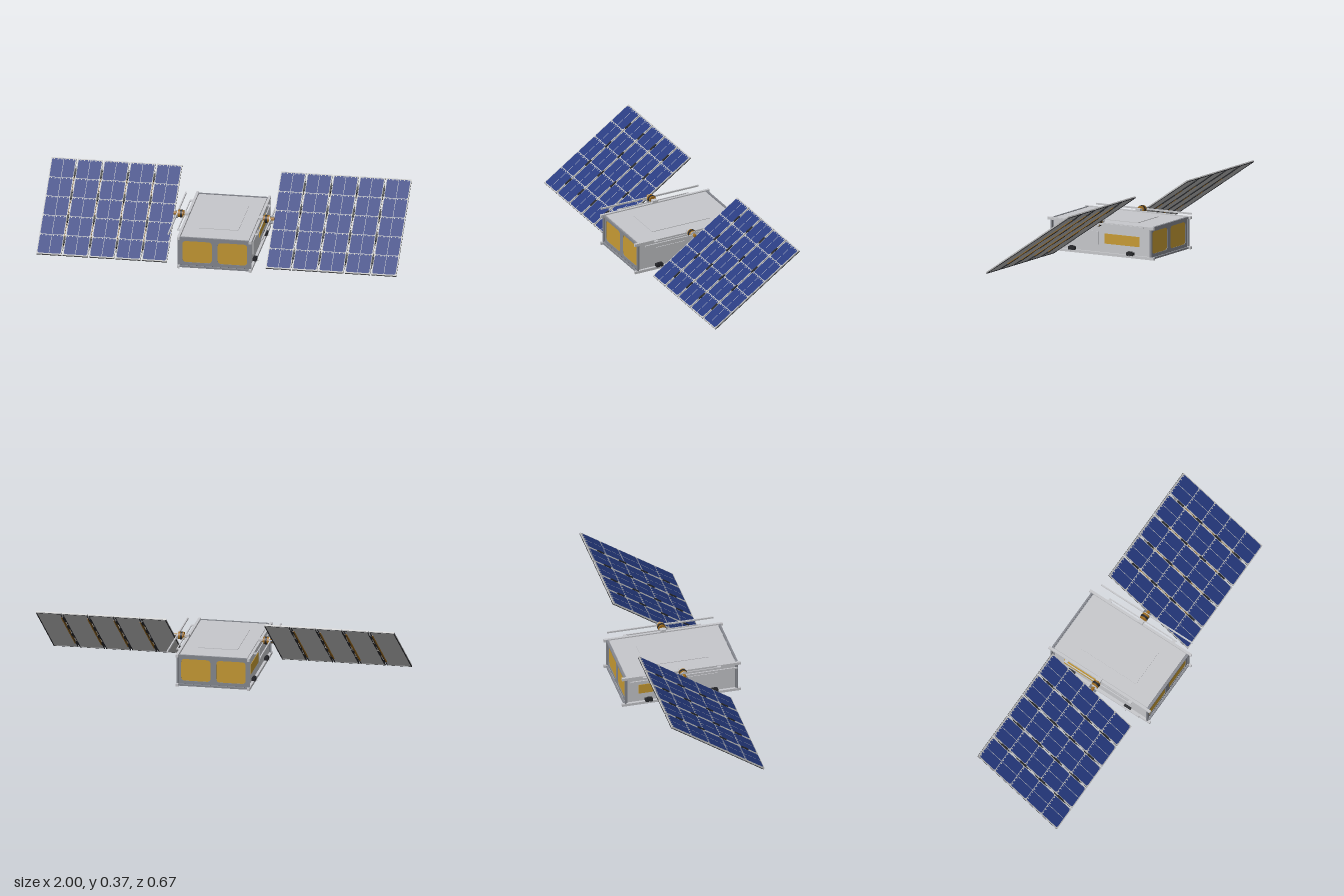
import * as THREE from 'three';
import { mergeGeometries } from 'three/addons/utils/BufferGeometryUtils.js';

const mat = (name, color) => {
  const m = new THREE.MeshStandardMaterial({ color });
  m.name = name;
  return m;
};

export function createModel() {
  const M = {
    light: mat('light grey', 0xc6c7cb),
    mid: mat('mid grey', 0x85888f),
    under: mat('dark grey underside', 0x55575c),
    dark: mat('black', 0x26272b),
    gold: mat('gold foil', 0xc69a33),
    bronze: mat('bronze', 0xa06c1c),
    blue: mat('solar blue', 0x25397f),
    panel: mat('panel grey', 0xbcbcbc),
  };
  const model = new THREE.Group();
  model.name = 'satellite';

  const add = (parent, name, geo, material, x = 0, y = 0, z = 0) => {
    const m = new THREE.Mesh(geo, material);
    m.name = name;
    m.position.set(x, y, z);
    parent.add(m);
    return m;
  };
  const box = (parent, name, material, w, h, d, x, y, z) =>
    add(parent, name, new THREE.BoxGeometry(w, h, d), material, x, y, z);
  const boxGeo = (w, h, d, x, y, z) => new THREE.BoxGeometry(w, h, d).translate(x, y, z);
  const tubeX = (parent, name, material, r, len, x, y, z) =>
    add(parent, name, new THREE.CylinderGeometry(r, r, len, 24).rotateZ(Math.PI / 2), material, x, y, z);

  // Rectangle with rounded corners, centred on the origin
  const roundedRect = (w, h, r) => {
    const s = new THREE.Shape(), a = w / 2, b = h / 2;
    s.moveTo(-a + r, -b).lineTo(a - r, -b).quadraticCurveTo(a, -b, a, -b + r);
    s.lineTo(a, b - r).quadraticCurveTo(a, b, a - r, b);
    s.lineTo(-a + r, b).quadraticCurveTo(-a, b, -a, b - r);
    s.lineTo(-a, -b + r).quadraticCurveTo(-a, -b, -a + r, -b);
    return s;
  };

  // Body
  const body = new THREE.Group();
  body.name = 'body';
  model.add(body);
  box(body, 'hull', M.light, 0.386, 0.158, 0.61, 0, 0.097, 0);
  box(body, 'topDeck', M.light, 0.376, 0.008, 0.616, 0, 0.18, 0);
  box(body, 'hatch', M.light, 0.22, 0.003, 0.36, 0, 0.1855, 0);
  box(body, 'underside', M.under, 0.384, 0.008, 0.616, 0, 0.014, 0);

  // Front and back frames with two foil windows each
  const frame = roundedRect(0.392, 0.16, 0.002);
  for (const s of [-1, 1]) {
    const hole = roundedRect(0.164, 0.125, 0.022);
    frame.holes.push(new THREE.Path(hole.getPoints(6).map((p) => p.clone().add(new THREE.Vector2(s * 0.098, 0)))));
  }
  const frameGeo = new THREE.ExtrudeGeometry(frame, { depth: 0.008, bevelEnabled: false });
  const foilGeo = new THREE.ShapeGeometry(roundedRect(0.164, 0.125, 0.022));
  for (const s of [1, -1]) {
    const end = new THREE.Group();
    end.name = s > 0 ? 'frontEnd' : 'backEnd';
    end.position.set(0, 0.097, s * 0.305);
    if (s < 0) end.rotation.y = Math.PI;
    body.add(end);
    add(end, 'endFrame', frameGeo, M.mid);
    for (const t of [-1, 1]) add(end, 'foilWindow', foilGeo, M.gold, t * 0.098, 0, 0.005);
    for (const y of [0.012, 0.18]) box(body, 'crossRail', M.mid, 0.39, 0.01, 0.01, 0, y, s * 0.319);
  }

  // Edge rails, corner posts and side equipment
  for (const s of [-1, 1]) {
    const side = new THREE.Group();
    side.name = s > 0 ? 'leftSide' : 'rightSide';
    body.add(side);
    for (const y of [0.0125, 0.18]) box(side, 'edgeRail', M.light, 0.014, 0.015, 0.674, s * 0.2, y, 0);
    for (const z of [-0.316, 0.316]) box(side, 'cornerPost', M.mid, 0.01, 0.155, 0.01, s * 0.2, 0.097, z);
    box(side, 'foilPatch', M.gold, 0.004, 0.056, 0.222, s * 0.194, 0.097, -0.129);
    box(side, 'sideHatch', M.light, 0.006, 0.073, 0.186, s * 0.194, 0.0965, 0.112);
    for (const z of [-0.185, 0.185]) {
      box(side, 'releaseBox', M.dark, 0.02, 0.018, 0.042, s * 0.203, 0.027, z);
      box(side, 'releaseCap', M.dark, 0.012, 0.005, 0.026, s * 0.203, 0.0385, z);
      box(side, 'releasePin', M.light, 0.012, 0.004, 0.004, s * 0.216, 0.018, z);
    }
    // Long carrier bar and inner guide bar
    box(side, 'carrierBar', M.light, 0.007, 0.009, 0.604, s * 0.26, 0.19, 0);
    box(side, 'guideBar', M.light, 0.005, 0.006, 0.44, s * 0.222, 0.182, 0);
    for (const z of [-0.24, 0.24]) box(side, 'guideClip', M.light, 0.022, 0.004, 0.02, s * 0.213, 0.182, z * 0.88);
    // Rotary drive for the wing
    box(side, 'driveBracket', M.light, 0.024, 0.012, 0.03, s * 0.205, 0.193, 0);
    tubeX(side, 'driveShaft', M.bronze, 0.009, 0.08, s * 0.24, 0.19, 0);
    tubeX(side, 'driveMotor', M.bronze, 0.021, 0.032, s * 0.238, 0.19, 0);
    tubeX(side, 'driveRing', M.dark, 0.0225, 0.012, s * 0.236, 0.19, 0);
    tubeX(side, 'driveCap', M.light, 0.0215, 0.004, s * 0.256, 0.19, 0);
  }

  // Solar cell with clipped corners, lying flat
  const cw = 0.0635, cl = 0.1215, cut = 0.007;
  const cellShape = new THREE.Shape([
    [-cw / 2, -cl / 2], [cw / 2 - cut, -cl / 2], [cw / 2, -cl / 2 + cut], [cw / 2, cl / 2 - cut],
    [cw / 2 - cut, cl / 2], [-cw / 2, cl / 2],
  ].map((p) => new THREE.Vector2(...p)));
  const cell = new THREE.ShapeGeometry(cellShape).rotateX(-Math.PI / 2);
  const cells = [], tabs = [], edges = [];
  const LEN = 0.634, W = 0.139;
  for (let r = 0; r < 5; r++) {
    const z = (r - 2) * 0.125;
    cells.push(cell.clone().translate(0.033, 0.0042, z));
    cells.push(cell.clone().rotateY(Math.PI).translate(-0.033, 0.0042, z));
    // Small cell connectors across each row
    for (let k = 0; k < 6; k++) tabs.push(boxGeo(0.005, 0.001, 0.008, (k - 2.5) * 0.021, 0.0046, z - 0.057));
  }
  for (const s of [-1, 1]) {
    edges.push(boxGeo(0.004, 0.004, LEN, s * (W / 2 - 0.002), -0.005, 0));
    edges.push(boxGeo(W, 0.004, 0.004, 0, -0.005, s * (LEN / 2 - 0.002)));
  }
  const cellGeo = mergeGeometries(cells), tabGeo = mergeGeometries(tabs), edgeGeo = mergeGeometries(edges);

  // Two tilted wings of five panels
  const pitch = 0.1465;
  for (const s of [-1, 1]) {
    const wing = new THREE.Group();
    wing.name = s > 0 ? 'leftWing' : 'rightWing';
    wing.position.y = 0.186;
    wing.rotation.x = 0.6;
    model.add(wing);
    for (let i = 0; i < 5; i++) {
      const x = s * (1 - W / 2 - i * pitch);
      const p = new THREE.Group();
      p.name = 'solarPanel';
      p.position.x = x;
      wing.add(p);
      box(p, 'panelBoard', M.panel, W, 0.007, LEN, 0, 0, 0);
      add(p, 'solarCells', cellGeo, M.blue);
      add(p, 'cellConnectors', tabGeo, M.panel);
      add(p, 'panelBackEdge', edgeGeo, M.dark);
      if (i === 4) continue;
      // Hinge line towards the body
      const hx = x - s * pitch / 2;
      box(wing, 'hingeStrip', M.bronze, 0.012, 0.003, 0.5, hx + s * 0.008, -0.0055, 0);
      for (const z of [-0.225, -0.075, 0.075, 0.225]) {
        box(wing, 'hinge', M.dark, 0.01, 0.017, 0.045, hx, 0, z);
        box(wing, 'hingeArm', M.dark, 0.008, 0.004, 0.09, hx - s * 0.004, -0.007, z);
      }
    }
    // Arm joining the innermost panel to the drive
    box(wing, 'wingRoot', M.mid, 0.03, 0.006, 0.05, s * 0.268, -0.001, 0);
  }
  return model;
}
